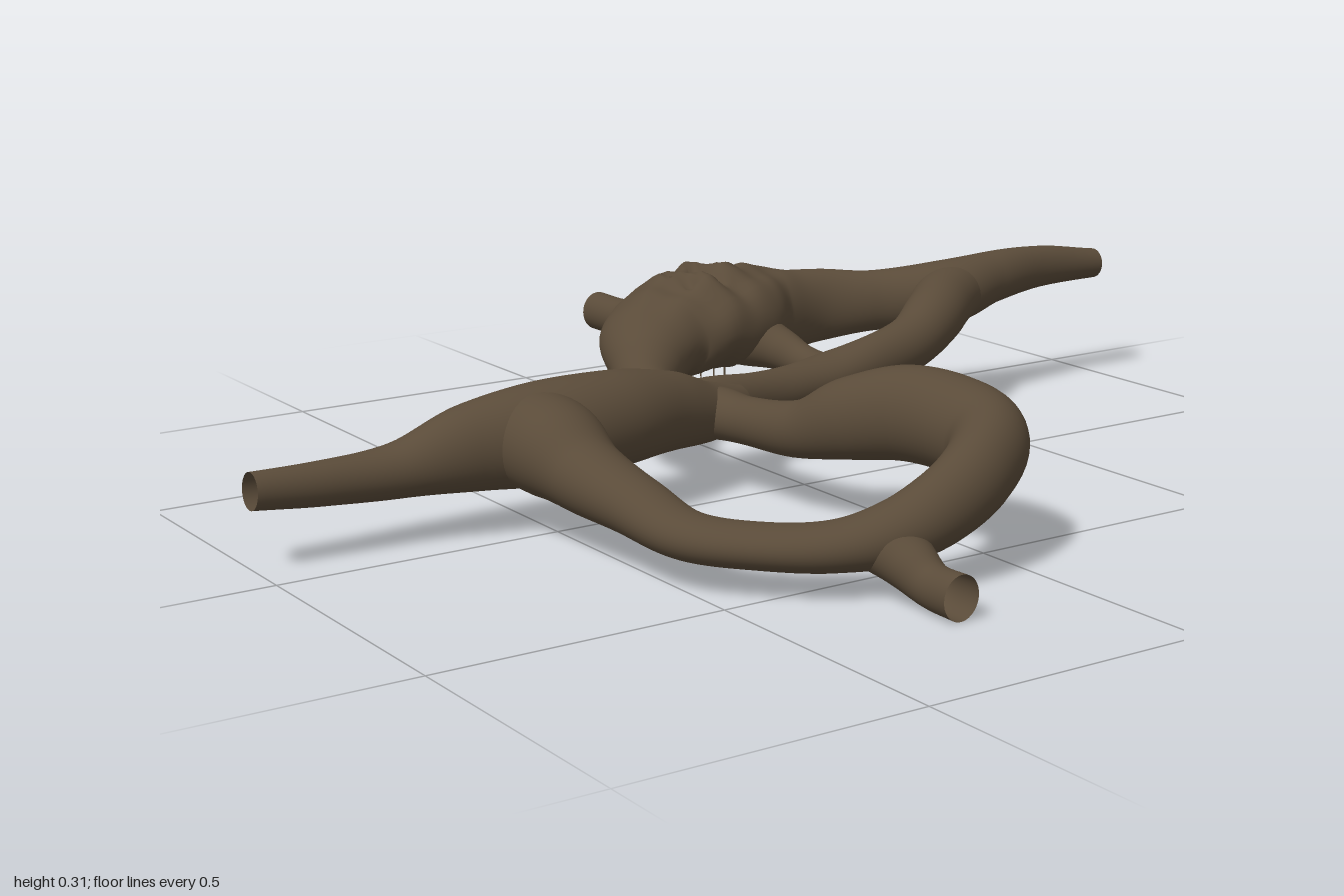
import * as THREE from 'three';

const SIDES = 40;

// Sweeps an elliptical section along a path.
// Each station is [x, y, z, half width, half height]; warp may move each point.
function makePassage(name, stations, material, warp) {
  const path = new THREE.CatmullRomCurve3(stations.map(s => new THREE.Vector3(s[0], s[1], s[2])));
  const size = new THREE.CatmullRomCurve3(
    stations.map(s => new THREE.Vector3(s[3], s[4], 0)), false, 'catmullrom', 0.4);
  const rows = (stations.length - 1) * (warp ? 16 : 8);
  const up = new THREE.Vector3(0, 1, 0);
  const positions = [], index = [];

  for (let i = 0; i <= rows; i++) {
    const t = i / rows;
    const centre = path.getPoint(t), half = size.getPoint(t);
    const along = path.getTangent(t);
    const side = new THREE.Vector3().crossVectors(up, along).normalize();
    const rise = new THREE.Vector3().crossVectors(along, side);
    for (let j = 0; j < SIDES; j++) {
      const a = j / SIDES * Math.PI * 2;
      const p = centre.clone()
        .addScaledVector(side, Math.cos(a) * half.x)
        .addScaledVector(rise, Math.sin(a) * half.y);
      if (warp) warp(p, Math.sin(a));
      positions.push(p.x, p.y, p.z);
      if (i < rows) {
        const k = (j + 1) % SIDES, r = i * SIDES, n = r + SIDES;
        index.push(r + j, r + k, n + j, r + k, n + k, n + j);
      }
    }
  }
  const geometry = new THREE.BufferGeometry();
  geometry.setAttribute('position', new THREE.Float32BufferAttribute(positions, 3));
  geometry.setIndex(index);
  geometry.computeVertexNormals();
  const mesh = new THREE.Mesh(geometry, material);
  mesh.name = name;
  return mesh;
}

// Small pits in the chamber: [x, z]
const PITS = [[-0.485, -0.16], [-0.5, -0.095], [-0.55, -0.07], [-0.49, -0.03], [-0.43, -0.1], [-0.43, -0.04]];

// Lumpy, flattened roof and pits of the chamber
function roughen(p, height) {
  const dx = (p.x + 0.47) / 0.14, dz = (p.z + 0.1) / 0.17;
  const near = Math.exp(-Math.pow(dx * dx + dz * dz, 2));
  const top = Math.max(height, 0);
  p.y += near * Math.sqrt(top) * (0.012 + 0.011 * Math.sin(48 * p.x + 9 * p.z) * Math.cos(43 * p.z - 14 * p.x));
  p.y += near * 0.005 * Math.sin(75 * p.z + 30 * p.x);
  for (const [x, z] of PITS) {
    const d2 = (p.x - x) ** 2 + (p.z - z) ** 2;
    p.y -= height * 0.03 * Math.exp(-d2 / 0.00016);
  }
}

export function createModel() {
  const model = new THREE.Group();
  model.name = 'caveSystem';
  const rock = new THREE.MeshStandardMaterial({ color: 0x5a4b39, side: THREE.DoubleSide });
  rock.name = 'brownRock';
  const add = (name, stations, warp) => model.add(makePassage(name, stations, rock, warp));

  // North entrance, lumpy west chamber and its way to the crossing
  add('northEntranceAndChamber', [
    [-0.38, 0.23, -1, 0.03, 0.03],
    [-0.375, 0.24, -0.85, 0.033, 0.042],
    [-0.365, 0.235, -0.72, 0.045, 0.052],
    [-0.37, 0.215, -0.6, 0.065, 0.065],
    [-0.43, 0.205, -0.47, 0.045, 0.06],
    [-0.475, 0.2, -0.37, 0.046, 0.072],
    [-0.49, 0.195, -0.27, 0.075, 0.082],
    [-0.48, 0.2, -0.17, 0.122, 0.088],
    [-0.47, 0.2, -0.06, 0.135, 0.09],
    [-0.44, 0.185, 0.03, 0.11, 0.078],
    [-0.36, 0.155, 0.1, 0.068, 0.06],
    [-0.25, 0.135, 0.16, 0.05, 0.05],
    [-0.12, 0.13, 0.16, 0.055, 0.052],
  ], roughen);

  // Passage east of the chamber
  add('innerPassage', [
    [-0.365, 0.22, -0.66, 0.045, 0.05],
    [-0.335, 0.212, -0.58, 0.06, 0.06],
    [-0.275, 0.195, -0.5, 0.058, 0.06],
    [-0.228, 0.165, -0.41, 0.05, 0.053],
    [-0.205, 0.145, -0.3, 0.045, 0.05],
    [-0.205, 0.13, -0.2, 0.054, 0.045],
    [-0.185, 0.125, -0.1, 0.045, 0.043],
    [-0.162, 0.13, 0, 0.038, 0.042],
    [-0.14, 0.135, 0.1, 0.05, 0.048],
    [-0.1, 0.14, 0.2, 0.05, 0.05],
  ]);

  // Short link between the chamber and the inner passage
  add('chamberLink', [
    [-0.42, 0.17, -0.17, 0.07, 0.055],
    [-0.35, 0.155, -0.195, 0.04, 0.04],
    [-0.29, 0.14, -0.205, 0.03, 0.033],
    [-0.21, 0.13, -0.205, 0.045, 0.036],
  ]);

  // South entrance and trunk up to the crossing
  add('southTrunk', [
    [-0.085, 0.132, 1, 0.029, 0.031],
    [-0.088, 0.125, 0.88, 0.035, 0.037],
    [-0.088, 0.125, 0.75, 0.045, 0.046],
    [-0.065, 0.15, 0.62, 0.062, 0.075],
    [-0.045, 0.16, 0.5, 0.08, 0.088],
    [-0.045, 0.165, 0.36, 0.077, 0.083],
    [-0.07, 0.155, 0.24, 0.063, 0.07],
    [-0.1, 0.135, 0.15, 0.06, 0.055],
    [-0.13, 0.13, 0.06, 0.04, 0.038],
  ]);

  // Loop: south arm, east bend, high north arm, back to the crossing
  add('eastLoop', [
    [-0.07, 0.155, 0.515, 0.09, 0.085],
    [0.03, 0.15, 0.515, 0.085, 0.083],
    [0.12, 0.125, 0.51, 0.067, 0.062],
    [0.25, 0.105, 0.5, 0.056, 0.048],
    [0.38, 0.085, 0.485, 0.05, 0.038],
    [0.47, 0.08, 0.42, 0.05, 0.036],
    [0.545, 0.082, 0.33, 0.05, 0.04],
    [0.582, 0.098, 0.24, 0.053, 0.052],
    [0.59, 0.13, 0.15, 0.053, 0.062],
    [0.565, 0.165, 0.065, 0.058, 0.07],
    [0.51, 0.19, 0.005, 0.068, 0.076],
    [0.43, 0.2, 0, 0.075, 0.08],
    [0.34, 0.205, 0.03, 0.07, 0.08],
    [0.25, 0.185, 0.08, 0.058, 0.07],
    [0.15, 0.15, 0.108, 0.047, 0.05],
    [0, 0.135, 0.12, 0.042, 0.042],
    [-0.07, 0.135, 0.13, 0.05, 0.046],
    [-0.14, 0.13, 0.15, 0.06, 0.05],
  ]);

  // East and west entrances
  add('eastEntrance', [
    [0.565, 0.088, 0.25, 0.075, 0.05],
    [0.63, 0.06, 0.247, 0.045, 0.042],
    [0.68, 0.04, 0.245, 0.034, 0.036],
    [0.75, 0.038, 0.245, 0.033, 0.037],
  ]);
  add('westEntrance', [
    [-0.5, 0.185, -0.06, 0.12, 0.07],
    [-0.585, 0.183, -0.045, 0.075, 0.057],
    [-0.655, 0.183, -0.03, 0.037, 0.038],
    [-0.75, 0.183, -0.028, 0.034, 0.037],
  ]);

  // Narrow side loop on the north arm
  add('sideLoop', [
    [0.25, 0.2, 0.06, 0.028, 0.028],
    [0.24, 0.185, 0, 0.018, 0.02],
    [0.245, 0.165, -0.055, 0.018, 0.02],
    [0.262, 0.165, -0.093, 0.02, 0.022],
    [0.295, 0.185, -0.075, 0.02, 0.022],
    [0.318, 0.205, -0.03, 0.018, 0.02],
    [0.34, 0.21, 0.02, 0.024, 0.024],
  ]);

  // Thin threads hanging under the chamber: [x, z, lower end]
  for (const [x, z, low] of [[-0.535, -0.09, 0.07], [-0.487, -0.1, 0.08], [-0.472, -0.12, 0.08], [-0.42, -0.11, 0.055]]) {
    const length = 0.14 - low;
    const thread = new THREE.Mesh(new THREE.CylinderGeometry(0.002, 0.0015, length, 6), rock);
    thread.position.set(x, low + length / 2, z);
    thread.name = 'hangingThread';
    model.add(thread);
  }
  return model;
}
